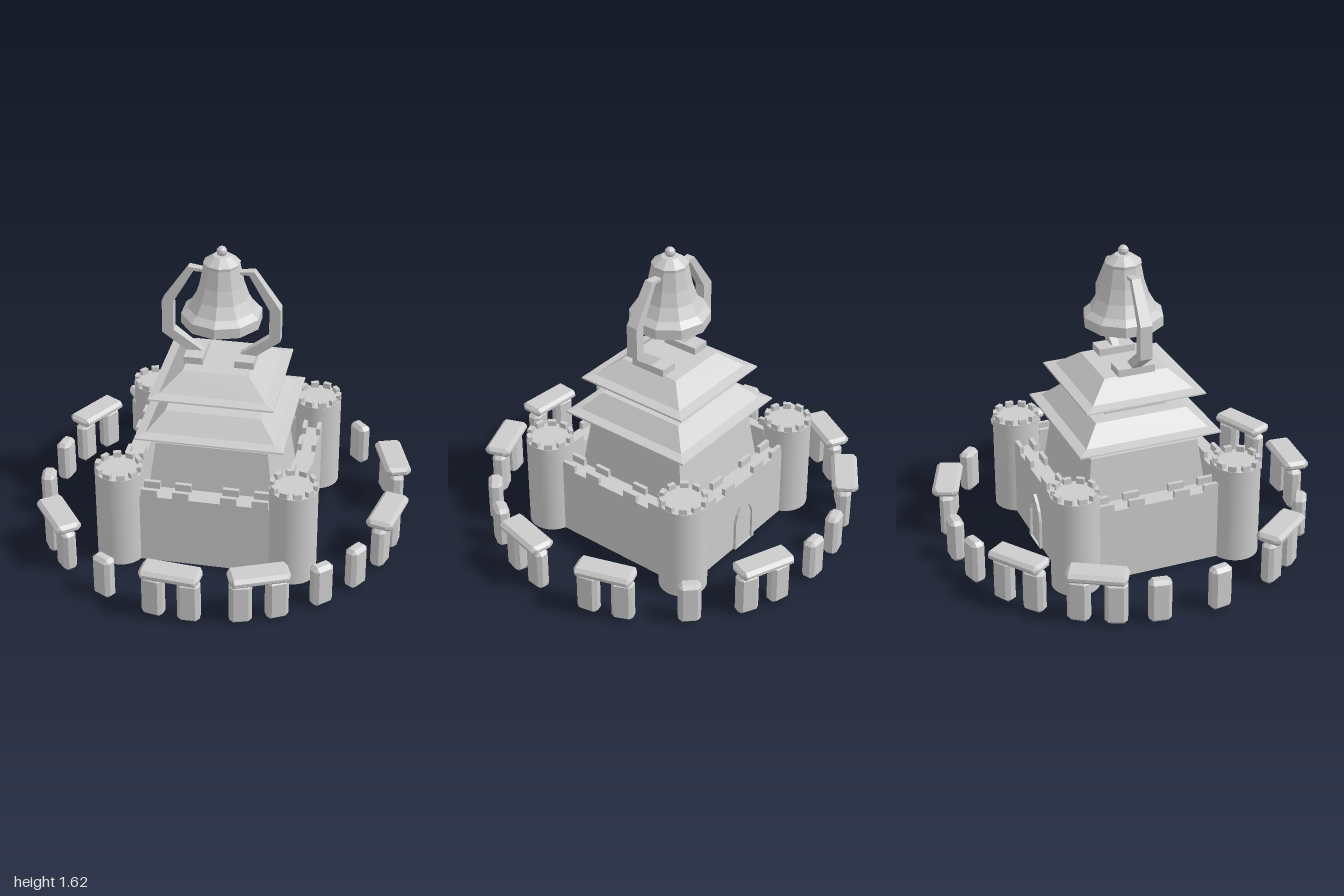
import * as THREE from 'three';
import { ConvexGeometry } from 'three/addons/geometries/ConvexGeometry.js';

const flat = new THREE.MeshStandardMaterial({ color: 0xcccccc, flatShading: true });
const smooth = new THREE.MeshStandardMaterial({ color: 0xcccccc });

function add(parent, name, geometry, x = 0, y = 0, z = 0, material = flat) {
  const mesh = new THREE.Mesh(geometry, material);
  mesh.name = name;
  mesh.position.set(x, y, z);
  parent.add(mesh);
  return mesh;
}

function group(parent, name) {
  const g = new THREE.Group();
  g.name = name;
  parent.add(g);
  return g;
}

const box = (w, h, d) => new THREE.BoxGeometry(w, h, d);
const lathe = (pts, sides) =>
  new THREE.LatheGeometry(pts.map(([r, y]) => new THREE.Vector2(r, y)), sides);
// square-plan solid from half-width / height pairs
const squareLoft = (pts) =>
  lathe(pts.map(([h, y]) => [h * Math.SQRT2, y]), 4).rotateY(Math.PI / 4);

// block with every edge bevelled
function bevelledBlock(w, h, d, c) {
  const pts = [];
  for (const sx of [-1, 1]) for (const sy of [-1, 1]) for (const sz of [-1, 1]) {
    const [x, y, z] = [w / 2, h / 2, d / 2];
    pts.push(new THREE.Vector3(sx * x, sy * (y - c), sz * (z - c)),
      new THREE.Vector3(sx * (x - c), sy * y, sz * (z - c)),
      new THREE.Vector3(sx * (x - c), sy * (y - c), sz * z));
  }
  return new ConvexGeometry(pts);
}

// pointed arch outline standing on y = 0
function archPoints(halfWidth, spring, top, y0 = 0) {
  const rise = top - spring;
  return [[-1, y0], [1, y0], [1, spring], [0.82, spring + rise * 0.4], [0.5, spring + rise * 0.72],
    [0, top], [-0.5, spring + rise * 0.72], [-0.82, spring + rise * 0.4], [-1, spring]]
    .map(([x, y]) => new THREE.Vector2(x * halfWidth, y));
}

function buildCastle(parent) {
  const castle = group(parent, 'castle');
  // curtain walls with paired rows of merlons
  for (let i = 0; i < 4; i++) {
    const wall = group(castle, 'wall');
    wall.rotation.y = i * Math.PI / 2;
    add(wall, 'wallBody', box(0.9, 0.4, 0.1), 0, 0.2, 0.445);
    for (const x of [-0.29, -0.125, 0.125, 0.29])
      for (const z of [0.406, 0.484])
        add(wall, 'wallMerlon', box(0.085, 0.04, 0.022), x, 0.42, z);
  }
  // round corner towers
  for (const sx of [-1, 1]) for (const sz of [-1, 1]) {
    const tower = group(castle, 'cornerTower');
    tower.position.set(sx * 0.456, 0, sz * 0.446);
    add(tower, 'towerBody', new THREE.CylinderGeometry(0.126, 0.126, 0.525, 32), 0, 0.2625, 0, smooth);
    for (let i = 0; i < 10; i++) {
      const a = (i + 0.5) * Math.PI / 5;
      const m = add(tower, 'towerMerlon', box(0.042, 0.03, 0.024),
        0.111 * Math.sin(a), 0.54, 0.111 * Math.cos(a));
      m.rotation.y = a;
    }
  }
  // arched gate in the back wall
  const gate = group(castle, 'gate');
  gate.rotation.y = Math.PI;
  const frame = new THREE.Shape(archPoints(0.083, 0.17, 0.29));
  frame.holes.push(new THREE.Path(archPoints(0.062, 0.17, 0.262, 0.002)));
  add(gate, 'gateFrame', new THREE.ExtrudeGeometry(frame, { depth: 0.016, bevelEnabled: false }), 0, 0, 0.494);
  add(gate, 'gateDoor', new THREE.ExtrudeGeometry(new THREE.Shape(archPoints(0.064, 0.17, 0.265)),
    { depth: 0.004, bevelEnabled: false }), 0, 0, 0.494);
}

function buildPagoda(parent) {
  const pagoda = group(parent, 'pagoda');
  add(pagoda, 'keep', squareLoft([[0, 0], [0.37, 0], [0.295, 0.605], [0, 0.605]]));
  add(pagoda, 'lowerStorey', box(0.474, 0.08, 0.474), 0, 0.63, 0);
  add(pagoda, 'lowerRoof', squareLoft([[0, 0.655], [0.35, 0.652], [0.388, 0.67], [0.386, 0.678],
    [0.335, 0.69], [0.25, 0.78], [0, 0.78]]));
  add(pagoda, 'upperStorey', box(0.34, 0.1, 0.34), 0, 0.82, 0);
  add(pagoda, 'upperRoof', squareLoft([[0, 0.86], [0.295, 0.857], [0.327, 0.875], [0.325, 0.883],
    [0.275, 0.895], [0.172, 0.982], [0, 0.982]]));
}

function buildBell(parent) {
  const bell = group(parent, 'bellAndFrame');
  add(bell, 'bell', lathe([[0, 1.2], [0.21, 1.2], [0.21, 1.255], [0.175, 1.285], [0.14, 1.345],
    [0.115, 1.42], [0.095, 1.52], [0.096, 1.535], [0.045, 1.572], [0, 1.575]], 10));
  add(bell, 'finial', new THREE.SphereGeometry(0.028, 10, 6), 0, 1.592, 0);
  add(bell, 'clapper', lathe([[0, 1.118], [0.035, 1.12], [0.058, 1.155], [0.058, 1.19],
    [0.03, 1.205], [0, 1.205]], 8));
  // bowed arms, thinner towards the bell and the feet
  const outline = [[0.18, 1.017], [0.308, 1.118], [0.308, 1.298], [0.17, 1.5], [0.08, 1.49],
    [0.08, 1.476], [0.143, 1.478], [0.25, 1.293], [0.25, 1.134], [0.085, 1.01]];
  for (const s of [-1, 1]) {
    const shape = new THREE.Shape(outline.map(([x, y]) => new THREE.Vector2(s * x, y)));
    const geo = new THREE.ExtrudeGeometry(shape, { depth: 0.064, bevelEnabled: false });
    geo.translate(0, 0, -0.032);
    const p = geo.attributes.position;
    for (let i = 0; i < p.count; i++) {
      const t = THREE.MathUtils.clamp((Math.abs(p.getX(i)) - 0.08) / 0.22, 0, 1);
      p.setZ(i, p.getZ(i) * (0.55 + 0.45 * t));
    }
    add(bell, 'bellArm', geo);
    add(bell, 'armFoot', box(0.1, 0.04, 0.2), s * 0.133, 1.0, 0);
  }
}

function buildStoneRing(parent) {
  const ring = group(parent, 'stoneRing');
  const radius = 0.943;
  const upright = bevelledBlock(0.115, 0.238, 0.075, 0.02);
  const lintel = bevelledBlock(0.31, 0.052, 0.14, 0.018);
  // shorten the lintel's corners in plan
  const p = lintel.attributes.position;
  for (let i = 0; i < p.count; i++)
    if (Math.abs(p.getX(i)) > 0.15) p.setZ(i, p.getZ(i) * 0.75);

  const place = (name, degrees) => {
    const g = group(ring, name);
    const a = THREE.MathUtils.degToRad(degrees);
    g.position.set(radius * Math.sin(a), 0, radius * Math.cos(a));
    g.rotation.y = a;
    return g;
  };
  // pairs of uprights carrying a lintel
  for (const deg of [-4.9, 21.9, 77, 108.3, 158, -145.3, -119.7, -53.5]) {
    const g = place('trilithon', deg);
    for (const s of [-1, 1]) add(g, 'upright', upright, s * 0.093, 0.125, 0).rotation.y = s * 0.1;
    add(g, 'lintel', lintel, 0, 0.272, 0);
  }
  // single standing stones
  for (const deg of [-28.7, 42.8, 57.3, 134.2, 180, -165.6, -101, -81.4])
    add(place('standingStone', deg), 'upright', upright, 0, 0.125, 0);
}

export function createModel() {
  const model = new THREE.Group();
  model.name = 'castlePagodaBell';
  const monument = group(model, 'monument');
  monument.position.set(-0.024, 0, -0.024);
  buildCastle(monument);
  buildPagoda(monument);
  buildBell(monument);
  buildStoneRing(monument);
  return model;
}
